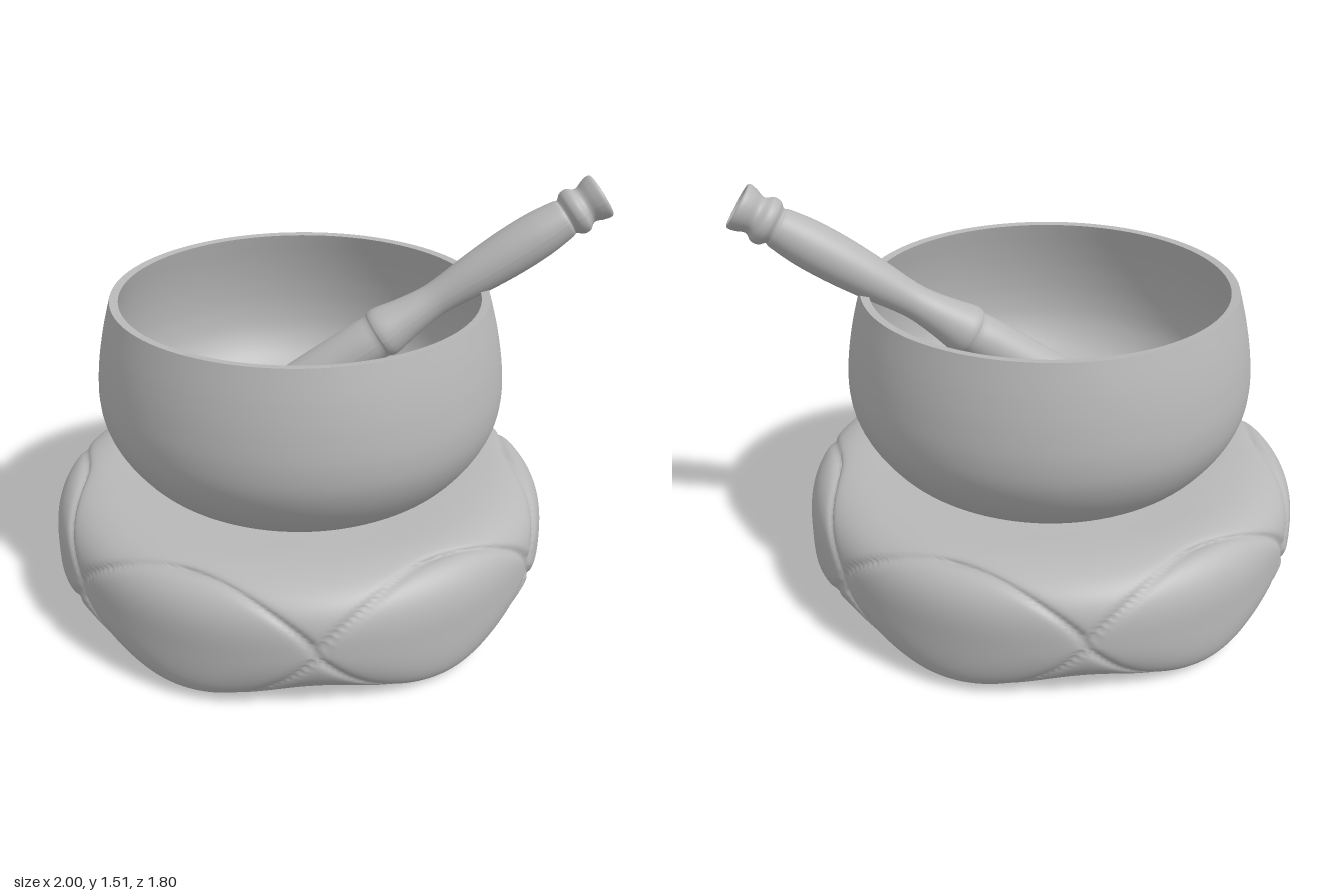
import * as THREE from 'three';
import { mergeVertices } from 'three/addons/utils/BufferGeometryUtils.js';

const gray = new THREE.MeshStandardMaterial({ color: 0xb8b8b8 });
gray.name = 'plain gray';

function spline(points, n) {
  return new THREE.SplineCurve(points.map(([x, y]) => new THREE.Vector2(x, y))).getPoints(n);
}

function mesh(name, geometry) {
  const m = new THREE.Mesh(geometry, gray);
  m.name = name;
  return m;
}

// Quilted round cushion: a section that varies around six panels, with crossing seams
function cushionGeometry() {
  const rows = 84, pts = [new THREE.Vector2(0, -2)];
  for (let j = 0; j <= rows; j++) pts.push(new THREE.Vector2(1, (j / rows - 0.5) * Math.PI));
  pts.push(new THREE.Vector2(0, 2));
  let g = new THREE.LatheGeometry(pts, 288);
  const p = g.attributes.position;
  const mix = THREE.MathUtils.lerp;
  for (let i = 0; i < p.count; i++) {
    const t = p.getY(i);
    if (Math.abs(t) > 1.8) {
      p.setXYZ(i, 0, t > 0 ? 0.44 : 0.01, 0);
      continue;
    }
    const a = Math.atan2(p.getZ(i), p.getX(i));
    const wave = Math.cos(3 * a), lens = wave * wave, up = t > 0;
    // rounder between the side panels, boxier at their middles
    const c = up ? mix(0.6, 0.66, lens) : mix(0.6, 0.72, lens);
    const e = up ? mix(0.65, 0.7, lens) : mix(0.9, 0.5, lens);
    const co = Math.pow(Math.max(Math.cos(t), 0), e);
    const si = Math.sign(t) * Math.pow(Math.abs(Math.sin(t)), e);
    // two seam lines weaving around the side
    const d = Math.min(Math.abs(t - 1.12 * wave), Math.abs(t + 1.12 * wave));
    const pinch = up ? 1 + 0.8 * Math.pow(lens, 8) : 1;
    const k = 1 - 0.07 * pinch * Math.exp(-d / 0.06);
    const r = c + (0.9 - c) * co * k;
    p.setXYZ(i, r * Math.cos(a), 0.23 + 0.23 * si * (up ? mix(1, k, 0.6) : 1), r * Math.sin(a));
  }
  g.deleteAttribute('normal');
  g.deleteAttribute('uv');
  g = mergeVertices(g, 1e-5);
  g.computeVertexNormals();
  return g;
}

// Bowl: outer wall, flat rim and inner wall
function createBowl() {
  const bowl = new THREE.Group();
  bowl.name = 'bowl';
  const outer = spline([[0, 0.44], [0.25, 0.44], [0.46, 0.445], [0.57, 0.495], [0.655, 0.59],
    [0.705, 0.69], [0.72, 0.79], [0.712, 0.9], [0.692, 1.01], [0.662, 1.125]], 60);
  const inner = spline([[0.632, 1.122], [0.662, 1.01], [0.682, 0.9], [0.688, 0.79], [0.672, 0.69],
    [0.62, 0.6], [0.53, 0.535], [0.42, 0.505], [0.2, 0.5], [0, 0.5]], 60);
  outer[0].x = 0;
  inner[inner.length - 1].x = 0;
  const rim = [outer[outer.length - 1], inner[0]];
  for (const [name, pts] of [['bowlOuterWall', outer], ['bowlRim', rim], ['bowlInnerWall', inner]]) {
    bowl.add(mesh(name, new THREE.LatheGeometry(pts, 96)));
  }
  return bowl;
}

// Turned mallet with a waist, collars, a dished end and a bevelled tip
function createMallet() {
  const profile = spline([[0, 0], [0.035, 0.005], [0.06, 0.07], [0.072, 0.16], [0.08, 0.3],
    [0.084, 0.45], [0.085, 0.68], [0.083, 0.75], [0.09, 0.77], [0.09, 0.8], [0.074, 0.88],
    [0.062, 0.97], [0.063, 1.04], [0.076, 1.17], [0.084, 1.3], [0.083, 1.42], [0.072, 1.515],
    [0.066, 1.535], [0.082, 1.555], [0.084, 1.58], [0.07, 1.6], [0.068, 1.615], [0.078, 1.64],
    [0.083, 1.665], [0.074, 1.675], [0.05, 1.66], [0, 1.65]], 150);
  const g = new THREE.LatheGeometry(profile, 40);
  const p = g.attributes.position;
  for (let i = 0; i < p.count; i++) {
    p.setX(i, Math.max(p.getX(i), -(0.005 + 0.48 * p.getY(i))));
  }
  g.computeVertexNormals();
  const m = mesh('mallet', g);
  const angle = 0.575;
  m.rotation.z = angle - Math.PI / 2;
  m.position.set(-0.45, 0.535, 0);
  return m;
}

export function createModel() {
  const model = new THREE.Group();
  model.name = 'singingBowlSet';
  const cushion = mesh('cushion', cushionGeometry());
  const bowl = createBowl();
  cushion.position.x = bowl.position.x = -0.1;
  bowl.position.x = -0.09;
  model.add(cushion, bowl, createMallet());
  return model;
}
